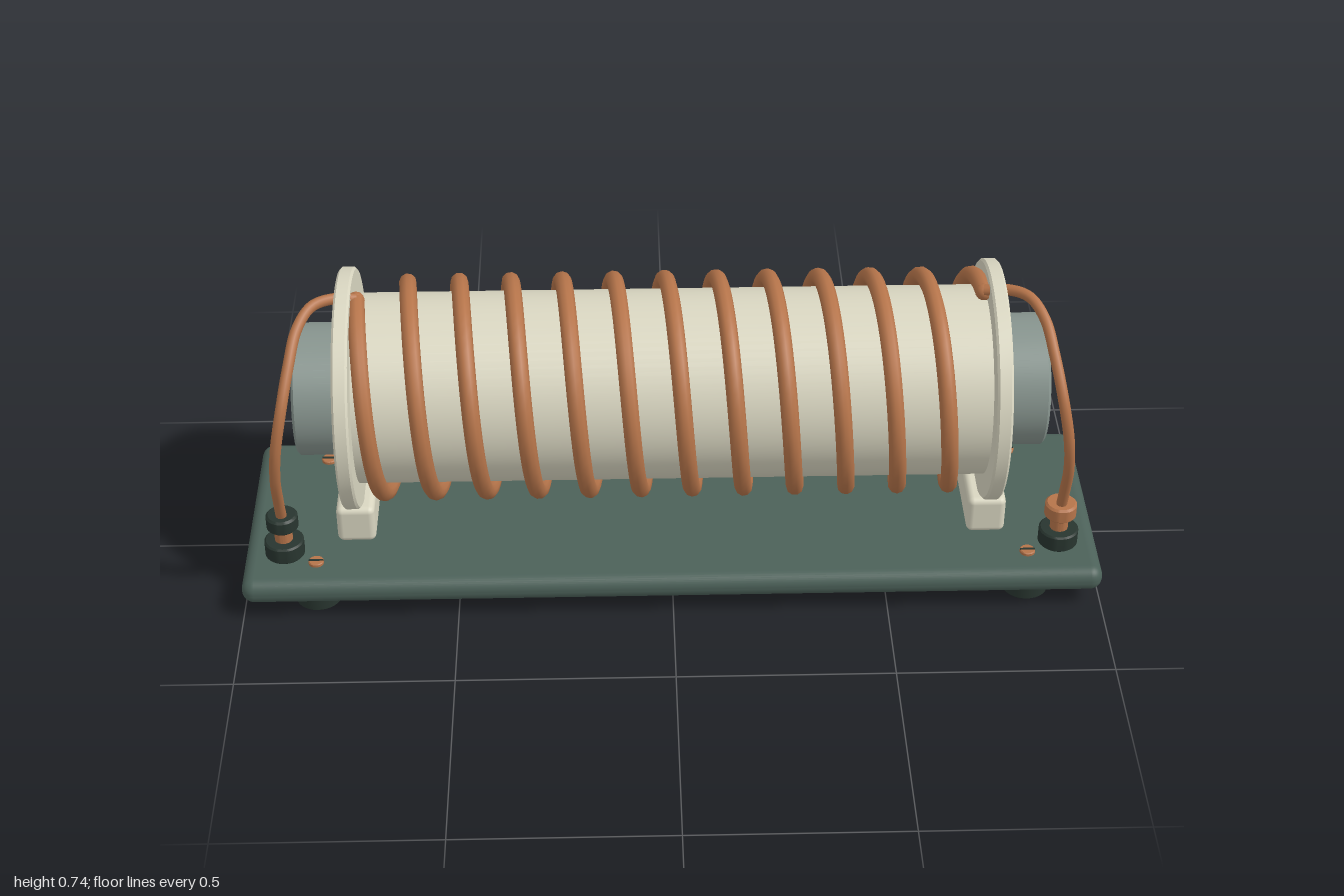
import * as THREE from 'three';
import { toCreasedNormals } from 'three/addons/utils/BufferGeometryUtils.js';
import { RoundedBoxGeometry } from 'three/addons/geometries/RoundedBoxGeometry.js';

const AXIS_Y = 0.46;

// Helix that starts at the top and runs down the front as x increases
class Helix extends THREE.Curve {
  constructor(radius, length, turns) {
    super();
    Object.assign(this, { radius, length, turns });
  }
  getPoint(t, target = new THREE.Vector3()) {
    const a = t * this.turns * Math.PI * 2;
    return target.set((t - 0.5) * this.length, AXIS_Y + Math.cos(a) * this.radius, Math.sin(a) * this.radius);
  }
}

export function createModel() {
  const model = new THREE.Group();
  model.name = 'coil';
  const material = (name, color) => {
    const m = new THREE.MeshStandardMaterial({ color });
    m.name = name;
    return m;
  };
  const cream = material('cream', 0xd9d6c1);
  const iron = material('iron grey', 0x87948e);
  const green = material('base green', 0x4c6159);
  const dark = material('dark green', 0x28352f);
  const copper = material('copper', 0xb5744a);

  const add = (name, geometry, mat, x = 0, y = 0, z = 0) => {
    const mesh = new THREE.Mesh(geometry, mat);
    mesh.name = name;
    mesh.position.set(x, y, z);
    model.add(mesh);
    return mesh;
  };
  const lathe = (points, segments) => toCreasedNormals(
    new THREE.LatheGeometry(points.map(([r, y]) => new THREE.Vector2(r, y)), segments), 0.5);
  // Solid bevelled disc, centred on its own height
  const disc = (r, h, b, segments = 32) => lathe(
    [[0, -h / 2], [r - b, -h / 2], [r, -h / 2 + b], [r, h / 2 - b], [r - b, h / 2], [0, h / 2]], segments);
  // Hollow bevelled ring, centred on its own height
  const ring = (ri, ro, h, b) => lathe([
    [ri, -h / 2 + b], [ri + b, -h / 2], [ro - b, -h / 2], [ro, -h / 2 + b],
    [ro, h / 2 - b], [ro - b, h / 2], [ri + b, h / 2], [ri, h / 2 - b], [ri, -h / 2 + b]], 72);
  const alongX = (geometry) => geometry.rotateZ(-Math.PI / 2);

  // Base plate
  add('base', new RoundedBoxGeometry(2, 0.062, 0.56, 4, 0.029), green, 0, 0.071, 0);

  // Former tube and iron core
  add('formerTube', alongX(ring(0.175, 0.22, 1.46, 0.003)), cream, 0, AXIS_Y, 0);
  add('core', alongX(disc(0.153, 1.72, 0.006, 64)), iron, 0, AXIS_Y, 0);

  // Winding
  add('winding', new THREE.TubeGeometry(new Helix(0.243, 1.42, 12), 576, 0.02, 10), copper);

  for (const side of [-1, 1]) {
    // Flange and its saddle
    add('flange', alongX(ring(0.175, 0.28, 0.036, 0.005)), cream, side * 0.738, AXIS_Y, 0);
    add('saddle', new RoundedBoxGeometry(0.09, 0.096, 0.247, 3, 0.015), cream, side * 0.74, 0.15, 0);

    // Rounded end of the winding
    add('windingEnd', new THREE.SphereGeometry(0.02, 12, 8), copper, side * 0.71, AXIS_Y + 0.243, 0);

    // Lead from the winding to its terminal
    const path = [
      [0.71, 0.712, 0.008], [0.76, 0.722, 0.022], [0.805, 0.724, 0.056], [0.835, 0.698, 0.108],
      [0.852, 0.645, 0.174], [0.87, 0.565, 0.234], [0.888, 0.47, 0.251], [0.898, 0.38, 0.237],
      [0.902, 0.28, 0.198], [0.903, 0.21, 0.17],
    ].map(([x, y, z]) => new THREE.Vector3(side * x, y, z));
    add('lead', new THREE.TubeGeometry(new THREE.CatmullRomCurve3(path), 64, 0.0128, 10), copper);

    // Terminal: insulating collar, post and thumb nut
    const x = side * 0.903;
    add('terminalCollar', disc(0.046, 0.043, 0.004), dark, x, 0.134, 0.171);
    add('terminalPost', disc(0.021, 0.1, 0.001, 24), copper, x, 0.15, 0.171);
    add('terminalNut', disc(0.037, 0.039, 0.005), side > 0 ? copper : dark, x, 0.209, 0.171);

    // Feet, with a slotted screw above each
    for (const z of [-0.197, 0.197]) {
      add('foot', disc(0.054, 0.045, 0.004), dark, side * 0.83, 0.0225, z);
      add('screw', disc(0.018, 0.012, 0.002, 20), copper, side * 0.83, 0.104, z);
      add('screwSlot', new THREE.BoxGeometry(0.034, 0.002, 0.005), dark, side * 0.83, 0.1105, z);
    }
  }
  return model;
}
